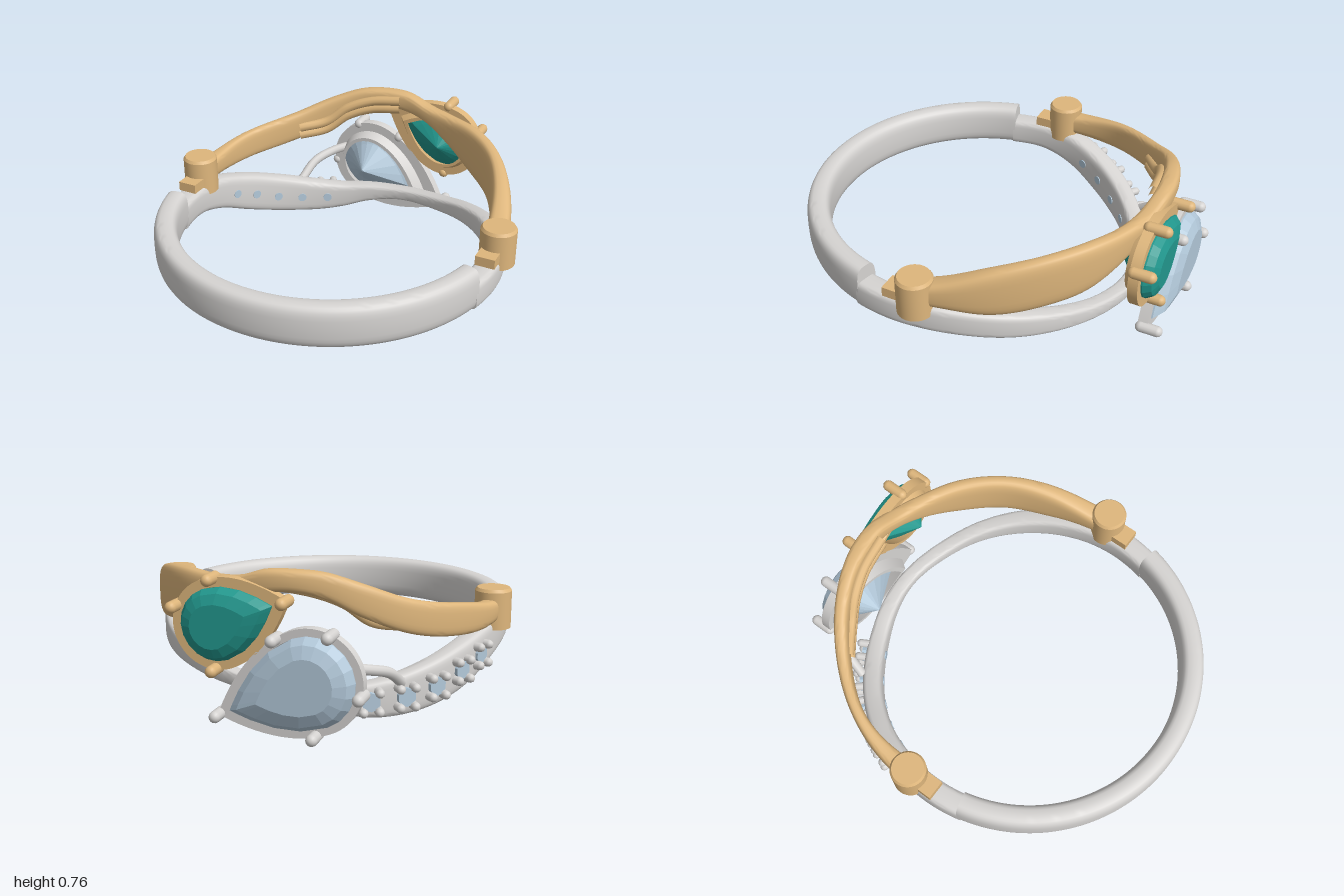
import * as THREE from 'three';
import { toCreasedNormals } from 'three/addons/utils/BufferGeometryUtils.js';

const mat = (name, color) => new THREE.MeshStandardMaterial({ name, color });
const CZ = 0.1; // z of the finger-hole axis
const rad = THREE.MathUtils.degToRad;

// Skin a list of equal-length rings, with optional end caps
function loft(rings, caps, crease) {
  const n = rings[0].length, pos = rings.flat().flat(), idx = [];
  for (let i = 0; i < rings.length - 1; i++) {
    for (let j = 0; j < n; j++) {
      const a = i * n + j, b = i * n + (j + 1) % n;
      idx.push(a, a + n, b, b, a + n, b + n);
    }
  }
  if (caps) {
    for (const [k, flip] of [[0, false], [rings.length - 1, true]]) {
      const c = pos.length / 3;
      for (let d = 0; d < 3; d++) pos.push(rings[k].reduce((s, p) => s + p[d], 0) / n);
      for (let j = 0; j < n; j++) {
        const a = k * n + j, b = k * n + (j + 1) % n;
        idx.push(c, flip ? b : a, flip ? a : b);
      }
    }
  }
  const g = new THREE.BufferGeometry();
  g.setAttribute('position', new THREE.Float32BufferAttribute(pos, 3));
  g.setIndex(idx);
  return toCreasedNormals(g, crease);
}

// Sweep a rounded section round the finger; frames are [degrees, inner r, outer r, bottom, top]
function bandGeometry(frames, roundness) {
  const f = new THREE.CubicInterpolant(frames.map(k => k[0]), frames.flatMap(k => k.slice(1)), 4);
  const start = frames[0][0], end = frames[frames.length - 1][0];
  const steps = Math.ceil((end - start) / 2), rings = [];
  const soft = v => Math.sign(v) * Math.abs(v) ** roundness;
  for (let i = 0; i <= steps; i++) {
    const deg = start + (end - start) * i / steps, a = rad(deg);
    const [r0, r1, y0, y1] = f.evaluate(deg);
    const ring = [];
    for (let j = 0; j < 28; j++) {
      const t = j / 28 * Math.PI * 2;
      const r = (r0 + r1) / 2 + (r1 - r0) / 2 * soft(Math.cos(t));
      const y = (y0 + y1) / 2 + (y1 - y0) / 2 * soft(Math.sin(t));
      ring.push([r * Math.sin(a), y, CZ + r * Math.cos(a)]);
    }
    rings.push(ring);
  }
  return loft(rings, true, 0.9);
}

// Pear outline: round about c, drawn out to a point at tip
function pearPoint(p, theta, scale, z) {
  const axis = Math.atan2(p.tip[1] - p.c[1], p.tip[0] - p.c[0]);
  const len = Math.hypot(p.tip[0] - p.c[0], p.tip[1] - p.c[1]);
  const u = Math.cos(theta), v = Math.sin(theta);
  const x = scale * (u > 0 ? len * u : p.r * u);
  const y = scale * p.r * (u > 0 ? v * Math.abs(v) : v);
  return [p.c[0] + x * Math.cos(axis) - y * Math.sin(axis),
    p.c[1] + x * Math.sin(axis) + y * Math.cos(axis), z];
}
const pearRings = (p, n, layers) => layers.map(([s, z]) =>
  Array.from({ length: n }, (_, j) => pearPoint(p, j / n * Math.PI * 2, s, z)));

export function createModel() {
  const root = new THREE.Group();
  const gold = mat('gold', 0xdeb67c), silver = mat('silver', 0xd6d4d2);
  const paleBlue = mat('pale blue stone', 0xb2c8d9), teal = mat('teal stone', 0x22988e);
  const add = (name, geo, m, parent = root) => {
    const mesh = new THREE.Mesh(geo, m);
    mesh.name = name;
    parent.add(mesh);
    return mesh;
  };

  // Silver ring: tall front half, then a lower shank dipping round the back
  add('frontBand', bandGeometry([
    [-77, 0.78, 0.9, 0.25, 0.47], [0, 0.78, 0.9, 0.25, 0.47], [77, 0.78, 0.9, 0.25, 0.47]], 0.6), silver);
  add('backBand', bandGeometry([
    [76, 0.78, 0.9, 0.25, 0.395], [90, 0.78, 0.9, 0.25, 0.395], [100, 0.78, 0.895, 0.245, 0.39],
    [111, 0.78, 0.89, 0.233, 0.375], [126, 0.785, 0.885, 0.207, 0.34], [146, 0.795, 0.88, 0.178, 0.28],
    [160, 0.8, 0.88, 0.155, 0.235], [180, 0.81, 0.89, 0.13, 0.2], [193, 0.795, 0.885, 0.09, 0.195],
    [202, 0.785, 0.88, 0.05, 0.19], [213, 0.78, 0.88, 0.03, 0.21], [228, 0.78, 0.885, 0.05, 0.265],
    [243, 0.78, 0.89, 0.11, 0.33], [258, 0.78, 0.895, 0.2, 0.385], [270, 0.78, 0.9, 0.245, 0.395],
    [284, 0.78, 0.9, 0.25, 0.395]], 0.45), silver);

  // Gold arch waving over the back from post to post
  add('goldArch', bandGeometry([
    [95, 0.79, 0.9, 0.395, 0.49], [105, 0.79, 0.9, 0.39, 0.535], [120, 0.81, 0.91, 0.37, 0.615],
    [135, 0.845, 0.93, 0.4, 0.668], [150, 0.87, 0.955, 0.445, 0.692], [162, 0.89, 0.97, 0.53, 0.692],
    [172, 0.905, 0.99, 0.61, 0.705], [180, 0.92, 1.005, 0.64, 0.745], [188, 0.92, 1.008, 0.65, 0.75],
    [196, 0.92, 1.0, 0.62, 0.738], [205, 0.915, 0.99, 0.54, 0.69], [220, 0.9, 0.968, 0.44, 0.6],
    [240, 0.88, 0.942, 0.39, 0.54], [255, 0.83, 0.92, 0.385, 0.5], [265, 0.79, 0.905, 0.395, 0.49]],
    0.6), gold);

  // Two thin strands on the inside of the arch
  for (const drop of [0, 0.045]) {
    const path = [[-0.57, 0.52], [-0.44, 0.55], [-0.33, 0.635], [-0.2, 0.685], [-0.03, 0.71]]
      .map(([x, y]) => new THREE.Vector3(x, y - drop, CZ - Math.sqrt(0.91 ** 2 - x * x)));
    add('innerStrand', new THREE.TubeGeometry(new THREE.CatmullRomCurve3(path), 40, 0.027, 10), gold);
  }

  // Posts and tabs joining the arch to the silver ring
  const postProfile = [[0, 0.345], [0.09, 0.345], [0.09, 0.53], [0.08, 0.545], [0, 0.545]]
    .map(([x, y]) => new THREE.Vector2(x, y));
  for (const s of [1, -1]) {
    add('post', toCreasedNormals(new THREE.LatheGeometry(postProfile, 40), 0.5), gold).position.x = s * 0.855;
    add('postTab', new THREE.BoxGeometry(0.1, 0.05, 0.2), gold).position.set(s * 0.845, 0.42, 0.055);
  }

  // Pear stones in flanged collars with claws; fit is the stone's share of the collar outline
  const settings = [
    { name: 'teal', c: [0.22, 0.49], tip: [-0.12, 0.62], r: 0.21, fit: 0.8, back: -0.835, culet: -0.77,
      table: -0.985, metal: gold, stone: teal, claws: [0, -80, -138, 112] },
    { name: 'blue', c: [-0.225, 0.262], tip: [0.22, 0.07], r: 0.245, fit: 0.86, back: -0.815, culet: -0.73,
      table: -0.995, metal: silver, stone: paleBlue, claws: [0, 81, 137, 213, 279] }];
  for (const p of settings) {
    const g = new THREE.Group();
    g.name = p.name + 'Setting';
    root.add(g);
    add('collar', loft(pearRings(p, 64, [[0.7, p.back], [0.79, -0.87], [1, -0.87], [1, -0.92],
      [p.fit - 0.01, -0.92], [0.62, p.back], [0.7, p.back]]), false, 0.5), p.metal, g);
    add('pearStone', loft(pearRings(p, 20, [[0.02, p.culet], [0.5, -0.85], [p.fit, -0.912], [p.fit, -0.928],
      [p.fit * 0.87, (p.table - 0.928) / 2 - 0.008], [p.fit * 0.6, p.table]]), true, 0.01), p.stone, g);
    for (const t of p.claws) {
      const claw = add('claw', new THREE.CapsuleGeometry(0.028, 0.085, 6, 14), p.metal, g);
      claw.rotation.x = Math.PI / 2;
      claw.position.set(...pearPoint(p, rad(t), 0.98, -0.93));
    }
  }

  // Wire brace from the blue setting to the shank
  add('wireBrace', new THREE.TubeGeometry(new THREE.CatmullRomCurve3([
    [-0.39, 0.33, -0.87], [-0.46, 0.31, -0.8], [-0.52, 0.275, -0.7], [-0.55, 0.2, -0.59]]
    .map(v => new THREE.Vector3(...v))), 24, 0.025, 10), silver);

  // Row of small stones, each with four bead claws and an inner opening
  for (const [deg, y] of [[250, 0.255], [240.5, 0.21], [230.5, 0.16], [220, 0.13], [209, 0.12]]) {
    const g = new THREE.Group();
    g.name = 'smallStone';
    g.position.set(0, y, CZ);
    g.rotation.y = rad(deg);
    root.add(g);
    const stone = add('stone', toCreasedNormals(new THREE.CylinderGeometry(0.045, 0.045, 0.03, 10), 0.1), paleBlue, g);
    stone.rotation.x = Math.PI / 2;
    stone.position.z = 0.888;
    const hole = add('innerOpening', new THREE.CylinderGeometry(0.024, 0.024, 0.009, 20), paleBlue, g);
    hole.rotation.x = Math.PI / 2;
    hole.position.z = 0.78;
    for (const sx of [-1, 1]) {
      for (const sy of [-1, 1]) {
        const bead = add('beadClaw', new THREE.CapsuleGeometry(0.022, 0.05, 5, 10), silver, g);
        bead.rotation.x = Math.PI / 2;
        bead.position.set(sx * 0.038, sy * 0.045, 0.89);
      }
    }
  }
  return root;
}
